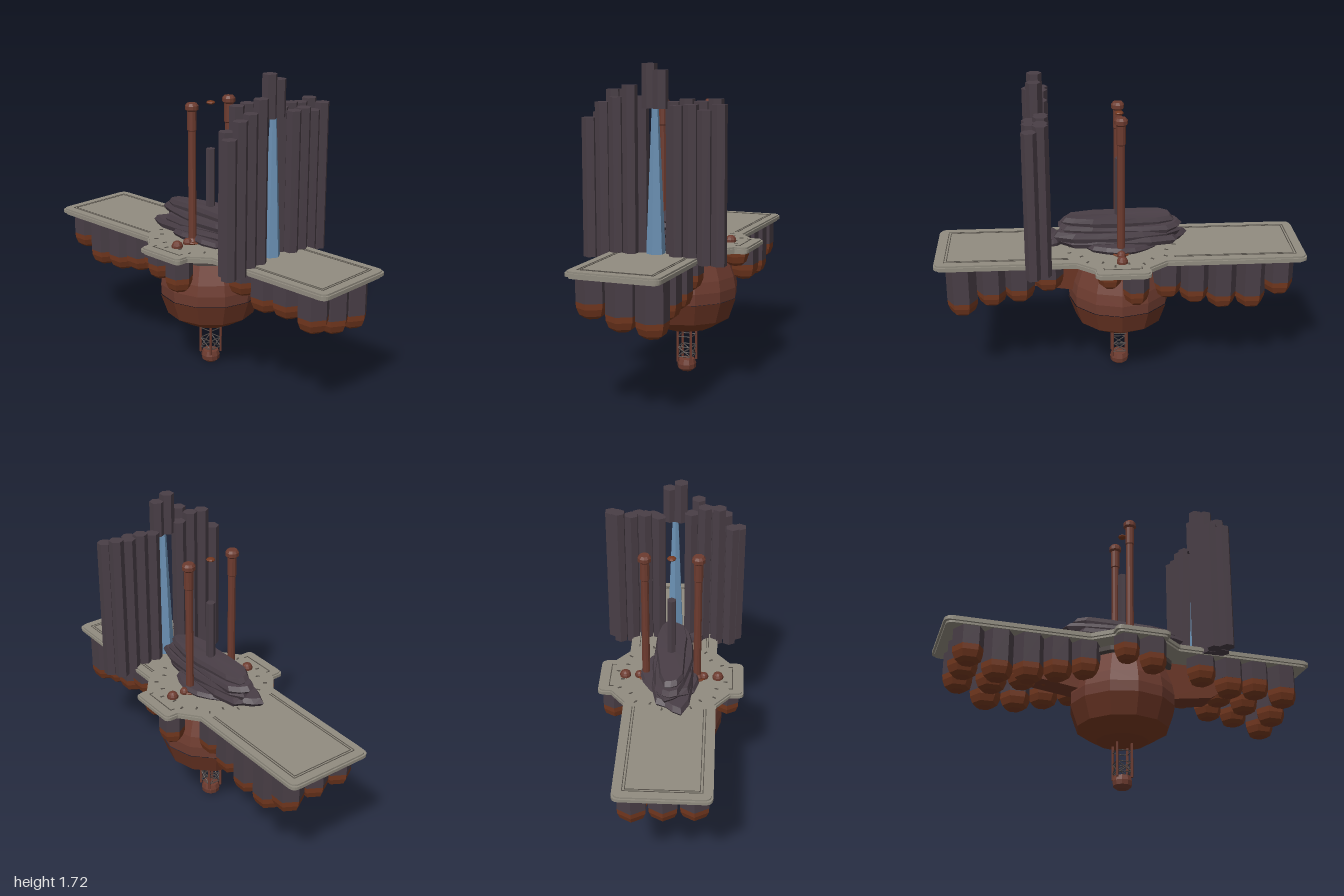
import * as THREE from 'three';

const mat = (name, color) => new THREE.MeshStandardMaterial({ name, color, flatShading: true });

export function createModel() {
  const root = new THREE.Group();
  root.name = 'floatingPlatform';
  const stone = mat('paleStone', 0x918c80);
  const groove = mat('grooveGrey', 0x56514a);
  const basalt = mat('darkBasalt', 0x493e46);
  const rust = mat('rustRed', 0x6d3b2f);
  const rustMid = mat('rustBrown', 0x6b3524);
  const ember = mat('burntOrange', 0x74381f);
  const water = mat('waterBlue', 0x6b91b4);
  const iron = mat('ironGrey', 0x4c4442);

  const add = (name, geo, material, x = 0, y = 0, z = 0, parent = root) => {
    const m = new THREE.Mesh(geo, material);
    m.name = name;
    m.position.set(x, y, z);
    parent.add(m);
    return m;
  };
  const lathe = (pts, n) => new THREE.LatheGeometry(pts.map(p => new THREE.Vector2(...p)), n);
  const prism = (name, r, y0, y1, x, z, material, n = 6, rTop = r) =>
    add(name, new THREE.CylinderGeometry(rTop, r, y1 - y0, n), material, x, (y0 + y1) / 2, z);
  const strut = (name, a, b, r, material) => {
    const p = new THREE.Vector3(...a), q = new THREE.Vector3(...b);
    const m = add(name, new THREE.CylinderGeometry(r, r, p.distanceTo(q), 6), material);
    m.position.copy(p).lerp(q, 0.5);
    m.quaternion.setFromUnitVectors(new THREE.Vector3(0, 1, 0), q.sub(p).normalize());
  };

  // Cross-shaped deck with rounded corners, in stepped layers
  const deckShape = (inset) => {
    const X = 0.248 - inset, Z = 1 - inset, W = 0.397 - inset, D = 0.148 - inset;
    const quarter = [[X, Z, 0.04], [X, 0.245 - inset * 0.4, 0], [0.325 - inset * 0.4, D, 0], [W, D, 0.03]];
    const mirror = (sx, sz) => quarter.map(([x, z, r]) => [x * sx, z * sz, r]);
    const c = [...mirror(1, 1), ...mirror(1, -1).reverse(), ...mirror(-1, -1), ...mirror(-1, 1).reverse()];
    const s = new THREE.Shape();
    c.forEach(([x, y, r], i) => {
      const p = new THREE.Vector2(x, y);
      const toward = (q) => new THREE.Vector2(q[0], q[1]).sub(p).setLength(r).add(p);
      const a = toward(c[(i + 15) % 16]), b = toward(c[(i + 1) % 16]);
      if (i) s.lineTo(a.x, a.y); else s.moveTo(a.x, a.y);
      if (r) s.quadraticCurveTo(x, y, b.x, b.y);
    });
    s.closePath();
    return s;
  };
  [[0.012, 0.715, 0.726], [0, 0.726, 0.743], [0.008, 0.743, 0.752]].forEach(([inset, y0, y1]) => {
    const g = new THREE.ExtrudeGeometry(deckShape(inset), { depth: y1 - y0, bevelEnabled: false, curveSegments: 5 });
    add('deckLayer', g.rotateX(-Math.PI / 2), stone, 0, y0, 0);
  });

  // Engraved double border lines and bolt marks
  const line = (w, d, x, z) => add('deckGroove', new THREE.BoxGeometry(w, 0.003, d), groove, x, 0.7525, z);
  for (const s of [-1, 1]) {
    for (const o of [0, 0.013]) {
      for (const sx of [-1, 1]) line(0.004, 0.66 - o, sx * (0.197 - o), s * (0.615 - o / 2));
      line(0.394 - 2 * o, 0.004, 0, s * (0.945 - o));
    }
    line(0.005, 0.2, s * 0.337, 0);
    for (const e of [-1, 1]) line(0.025, 0.005, s * 0.326, e * 0.1);
  }
  for (let i = 0; i < 24; i++) {
    const a = (i + 0.5) * Math.PI / 12, r = i % 2 ? 0.27 : 0.3;
    const m = line(0.022, 0.009, Math.cos(a) * r, Math.sin(a) * r);
    m.name = 'deckBolt';
    m.rotation.y = -a;
  }

  // Faceted hull under the deck
  add('hullUpper', lathe([[0.28, 0.44], [0.283, 0.5], [0.272, 0.56], [0.225, 0.69], [0.225, 0.717]], 12), rust);
  add('hullMiddle', lathe([[0.245, 0.325], [0.285, 0.44]], 12), rustMid);
  add('hullBottom', lathe([[0, 0.238], [0.04, 0.241], [0.14, 0.262], [0.245, 0.325]], 12), ember);
  prism('hullCollar', 0.27, 0.675, 0.7, 0, 0, iron, 12);

  // Wedge keels joining hull and deck
  for (const s of [-1, 1]) {
    const k = new THREE.Shape();
    k.moveTo(0.2, 0.5); k.lineTo(0.48, 0.54); k.lineTo(0.75, 0.717); k.lineTo(0.2, 0.717);
    const g = new THREE.ExtrudeGeometry(k, { depth: 0.14, bevelEnabled: false });
    g.translate(0, 0, -0.07).rotateY(-s * Math.PI / 2);
    add('keel', g, rustMid);
  }

  // Hanging basalt columns with rounded burnt tips
  const hang = (x, z, bottom, r = 0.083) => {
    prism('hangingColumn', r, bottom + 0.085, 0.716, x, z, basalt);
    add('columnTip', lathe([[0, 0], [r * 0.5, 0.003], [r * 0.8, 0.02], [r * 0.97, 0.055], [r, 0.086]], 6),
      ember, x, bottom, z);
  };
  const rows = [
    [0.86, 0.5, 0.45, 0.43], [0.7, 0.53, 0.5, 0.485], [0.55, 0.52, 0.53, 0.505], [0.395, 0.57, 0.56, 0.565],
    [-0.25, 0.53, 0, 0.505], [-0.4, 0.5, 0.53, 0.47], [-0.55, 0.47, 0.5, 0.435],
    [-0.71, 0.46, 0.46, 0.43], [-0.86, 0.53, 0.52, 0.505],
  ];
  rows.forEach(([z, ...b]) => b.forEach((y, i) => y && hang((i - 1) * 0.157, z, y)));
  hang(0.31, -0.07, 0.54, 0.07);
  hang(0.31, 0.07, 0.64, 0.07);
  hang(-0.31, 0.07, 0.54, 0.075);
  hang(-0.31, -0.07, 0.58, 0.07);

  // Lattice shaft with a bulb at its foot
  const L = 0.04;
  const corners = [[L, L], [L, -L], [-L, -L], [-L, L]];
  corners.forEach(([x, z], i) => {
    const [x2, z2] = corners[(i + 1) % 4];
    strut('shaftLeg', [x, 0.06, z], [x, 0.25, z], 0.007, rust);
    for (const y of [0.09, 0.145, 0.205]) strut('shaftRung', [x, y, z], [x2, y, z2], 0.003, iron);
    strut('shaftBrace', [x, 0.09, z], [x2, 0.145, z2], 0.003, iron);
    strut('shaftBrace', [x, 0.145, z], [x2, 0.09, z2], 0.003, iron);
  });
  add('shaftBulb', lathe([[0, 0], [0.03, 0.004], [0.05, 0.02], [0.053, 0.045], [0.045, 0.072], [0, 0.078]], 10), rust);

  // Wall of hexagonal columns: x, z, top
  const F = 0.47, B = 0.413;
  [
    [-0.352, F, 1.44], [-0.314, B, 1.466], [-0.276, F, 1.52], [-0.24, B, 1.582], [-0.202, F, 1.545],
    [-0.163, B, 1.585], [-0.126, F, 1.607], [-0.088, B, 1.55],
    [0.088, B, 1.525], [0.126, F, 1.51], [0.163, B, 1.54], [0.202, F, 1.515], [0.24, B, 1.53],
    [0.276, F, 1.49], [0.314, B, 1.543], [0.352, F, 1.52],
  ].forEach(([x, z, top]) => prism('wallColumn', 0.04, 0.718, top, x, z, basalt));
  prism('lintelColumn', 0.04, 1.49, 1.715, -0.031, 0.44, basalt);
  prism('lintelColumn', 0.04, 1.49, 1.682, 0.031, 0.445, basalt);
  prism('waterfall', 0.05, 0.75, 1.5, 0, 0.44, water, 6, 0.018);

  // Layered rock ridge
  const slab = (w, l, y0, y1, x, z, turn, seed) => {
    const g = new THREE.CylinderGeometry(1, 1, y1 - y0, 16, 2);
    const p = g.attributes.position, h = (y1 - y0) / 2;
    for (let i = 0; i < p.count; i++) {
      const px = p.getX(i), pz = p.getZ(i), t = p.getY(i) / h, a = Math.atan2(pz, px);
      const k = 1 + 0.06 * Math.sin(3 * a + seed) + 0.05 * Math.sin(5 * a + seed * 2) - 0.07 * t * t;
      // Squared-off ellipse
      const q = k / Math.pow(Math.cos(a) ** 4 + Math.sin(a) ** 4, 0.16);
      p.setXYZ(i, px * q * w, p.getY(i) + 0.006 * Math.sin(2 * a + seed), pz * q * l);
    }
    const m = add('rockSlab', g, basalt, x, (y0 + y1) / 2, z);
    m.rotation.y = turn;
  };
  slab(0.16, 0.2, 0.745, 0.785, 0, 0, 0, 1);
  slab(0.11, 0.36, 0.765, 0.815, -0.01, -0.01, 0.03, 2.3);
  slab(0.105, 0.33, 0.8, 0.855, 0, 0.01, 0.06, 4);
  slab(0.1, 0.34, 0.84, 0.885, -0.01, 0.01, -0.02, 5.5);
  slab(0.08, 0.31, 0.875, 0.925, 0, 0.02, 0.03, 0.4);
  slab(0.1, 0.05, 0.745, 0.79, -0.07, 0.38, 0.2, 3);
  prism('rockSpire', 0.025, 0.9, 1.25, 0, 0, basalt);

  // Twin pillars, deck domes and the floating disc
  for (const s of [-1, 1]) {
    const x = s * 0.14;
    add('pillar', lathe([[0.034, 0.75], [0.034, 0.765], [0.022, 0.78], [0.021, 1.37], [0.025, 1.375], [0.025, 1.475],
      [0.036, 1.485], [0.036, 1.505], [0.026, 1.518], [0, 1.518]], 10), rust, x);
    add('pillarRing', new THREE.TorusGeometry(0.042, 0.007, 5, 14).rotateX(Math.PI / 2), ember, x, 0.757, 0);
    add('smallDome', new THREE.SphereGeometry(0.025, 10, 7), rust, s * 0.178, 0.76, 0);
    add('largeDome', new THREE.SphereGeometry(0.031, 10, 7), rust, s * 0.255, 0.758, 0);
  }
  add('floatingDisc', new THREE.SphereGeometry(0.024, 10, 6).scale(1, 0.45, 1), ember, 0, 1.5, 0);

  return root;
}
